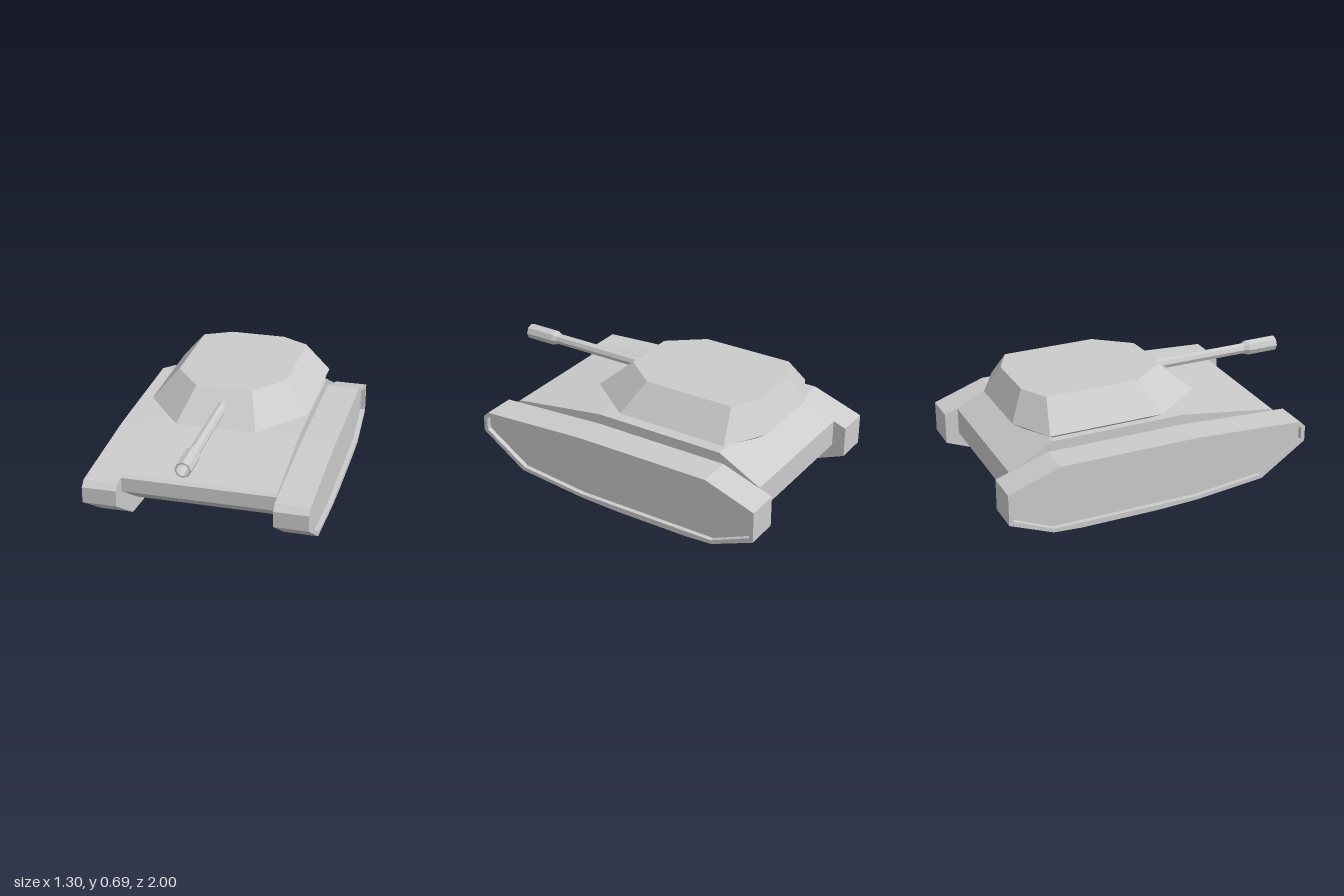
import * as THREE from 'three';

const grey = new THREE.MeshStandardMaterial({ color: 0xcccccc, flatShading: true });
const vec = (pts) => pts.map(([a, b]) => new THREE.Vector2(a, b));

function mesh(name, geometry) {
  const m = new THREE.Mesh(geometry, grey);
  m.name = name;
  return m;
}

// Extrudes a [z, y] side profile across the width from x0 to x1
function sideExtrude(profile, x0, x1, hole) {
  const shape = new THREE.Shape(vec(profile));
  if (hole) shape.holes.push(new THREE.Path(vec(hole)));
  const g = new THREE.ExtrudeGeometry(shape, { depth: x1 - x0, bevelEnabled: false });
  return g.rotateY(-Math.PI / 2).translate(x1, 0, 0);
}

// Eight-cornered horizontal ring: half widths and z of end edges and side corners
function ring(y, endHalf, sideHalf, zFront, zSideFront, zSideBack, zBack) {
  const half = [[endHalf, zFront], [sideHalf, zSideFront], [sideHalf, zSideBack], [endHalf, zBack]];
  const other = half.map(([x, z]) => [-x, z]).reverse();
  return [...half, ...other].map(([x, z]) => [x, y, z]);
}

// Closed solid through rings ordered from bottom to top
function loft(rings) {
  const pos = [];
  const tri = (a, b, c) => pos.push(...a, ...b, ...c);
  const n = rings[0].length;
  for (let r = 0; r < rings.length - 1; r++) {
    for (let i = 0; i < n; i++) {
      const j = (i + 1) % n;
      const [a, b, c, d] = [rings[r][i], rings[r][j], rings[r + 1][j], rings[r + 1][i]];
      tri(a, b, c);
      tri(a, c, d);
    }
  }
  const low = rings[0], high = rings[rings.length - 1];
  for (let i = 1; i < n - 1; i++) {
    tri(low[0], low[i + 1], low[i]);
    tri(high[0], high[i], high[i + 1]);
  }
  const g = new THREE.BufferGeometry();
  g.setAttribute('position', new THREE.Float32BufferAttribute(pos, 3));
  g.computeVertexNormals();
  return g;
}

export function createModel() {
  const model = new THREE.Group();
  model.name = 'tank';

  // Hull
  const hull = [
    [0.76, 0.29], [0.76, 0.375], [0.74, 0.39], [0.15, 0.47], [-0.66, 0.47],
    [-0.92, 0.33], [-0.92, 0.17], [-0.7, 0.07], [0.15, 0.07], [0.5, 0.115],
  ];
  model.add(mesh('hull', sideExtrude(hull, -0.456, 0.446)));

  // Tracks: solid body plus a raised rim around the recessed outer panel
  const outline = [
    [0.86, 0.245], [0.86, 0.34], [0.825, 0.373], [0.15, 0.41], [-0.69, 0.41], [-1, 0.303],
    [-1, 0.115], [-0.74, 0.01], [-0.57, 0], [-0.1, 0], [0.15, 0.01], [0.58, 0.055],
  ];
  const panel = [
    [0.835, 0.257], [0.835, 0.33], [0.805, 0.353], [0.15, 0.385], [-0.69, 0.385], [-0.975, 0.287],
    [-0.975, 0.135], [-0.735, 0.033], [0.15, 0.033], [0.565, 0.078],
  ];
  for (const [side, s] of [['left', 1], ['right', -1]]) {
    const track = new THREE.Group();
    track.name = side + 'Track';
    const span = (a, b) => (s > 0 ? [a, b] : [-b, -a]);
    track.add(mesh('trackBody', sideExtrude(outline, ...span(0.45, 0.622))));
    track.add(mesh('trackRim', sideExtrude(outline, ...span(0.622, 0.65), panel)));
    model.add(track);
  }

  // Turret, slightly off centre
  const turret = mesh('turret', loft([
    ring(0.465, 0.2, 0.38, 0.15, -0.06, -0.64, -0.75),
    ring(0.525, 0.238, 0.478, 0.31, 0, -0.69, -0.822),
    ring(0.695, 0.168, 0.333, 0.117, 0.09 * -1, -0.65, -0.738),
  ]));
  turret.position.x = -0.022;
  model.add(turret);

  // Gun barrel with a thicker hollow muzzle
  const gun = new THREE.LatheGeometry(vec([
    [0, 0.1], [0.033, 0.1], [0.033, 0.78], [0.047, 0.81], [0.047, 1],
    [0.036, 1], [0.036, 0.85], [0, 0.85],
  ]), 8).rotateX(Math.PI / 2);
  const barrel = mesh('gunBarrel', gun);
  barrel.position.set(-0.015, 0.605, 0);
  model.add(barrel);

  return model;
}
